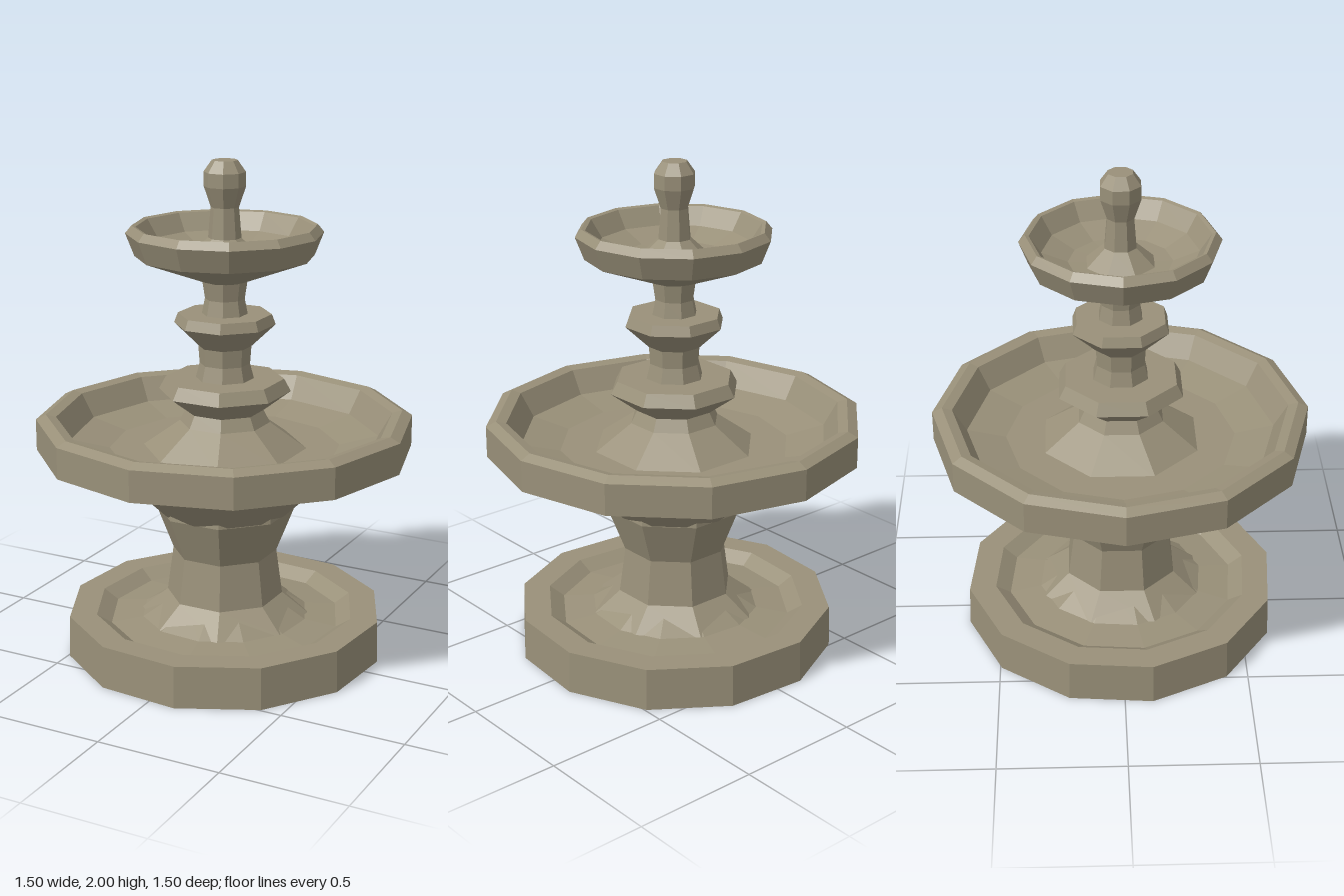
import * as THREE from 'three';

const stone = new THREE.MeshStandardMaterial({ color: 0x999079, flatShading: true });
stone.name = 'weathered stone';

// Faceted turned part: profile of [radius, y] from the bottom up, turned by degrees
function turned(name, sides, degrees, profile) {
  const points = profile.map(([r, y]) => new THREE.Vector2(r, y));
  const geometry = new THREE.LatheGeometry(points, sides);
  geometry.rotateY(THREE.MathUtils.degToRad(degrees));
  const mesh = new THREE.Mesh(geometry, stone);
  mesh.name = name;
  return mesh;
}

export function createModel() {
  const fountain = new THREE.Group();
  fountain.name = 'tieredFountain';

  // Ground basin with a raised rim and a sloping foot in the middle
  fountain.add(turned('baseBasin', 12, 10, [
    [0, 0.005], [0.645, 0.005], [0.64, 0.175], [0.53, 0.175],
    [0.47, 0.135], [0.34, 0.15], [0.2, 0.235], [0, 0.235],
  ]));

  // Eight-sided pedestal
  fountain.add(turned('pedestal', 8, 22.5, [
    [0.34, 0.15], [0.235, 0.235], [0.21, 0.42], [0.28, 0.6], [0.27, 0.7],
  ]));

  // Large bowl, underside, rim and inside
  fountain.add(turned('largeBowl', 12, 0, [
    [0.2, 0.59], [0.265, 0.6], [0.42, 0.75], [0.75, 0.85], [0.75, 0.975],
    [0.71, 0.995], [0.67, 0.985], [0.615, 0.89], [0.46, 0.855], [0.3, 0.855],
  ]));

  // Middle column with its two collars
  fountain.add(turned('middleColumn', 8, 22.5, [
    [0.34, 0.845], [0.18, 0.96], [0.155, 1.01], [0.262, 1.09], [0.235, 1.14],
    [0.115, 1.14], [0.1, 1.2], [0.105, 1.27], [0.2, 1.36], [0.185, 1.4],
    [0.09, 1.4], [0.078, 1.46], [0.09, 1.54],
  ]));

  // Small upper bowl
  fountain.add(turned('smallBowl', 12, 0, [
    [0.05, 1.525], [0.085, 1.53], [0.35, 1.63], [0.385, 1.72], [0.36, 1.75],
    [0.345, 1.745], [0.3, 1.675], [0.2, 1.635], [0.1, 1.63], [0, 1.63],
  ]));

  // Finial rising from the small bowl
  fountain.add(turned('finial', 8, 22.5, [
    [0.14, 1.63], [0.065, 1.7], [0.055, 1.82], [0.082, 1.9],
    [0.082, 1.955], [0.05, 2], [0, 2],
  ]));

  return fountain;
}
